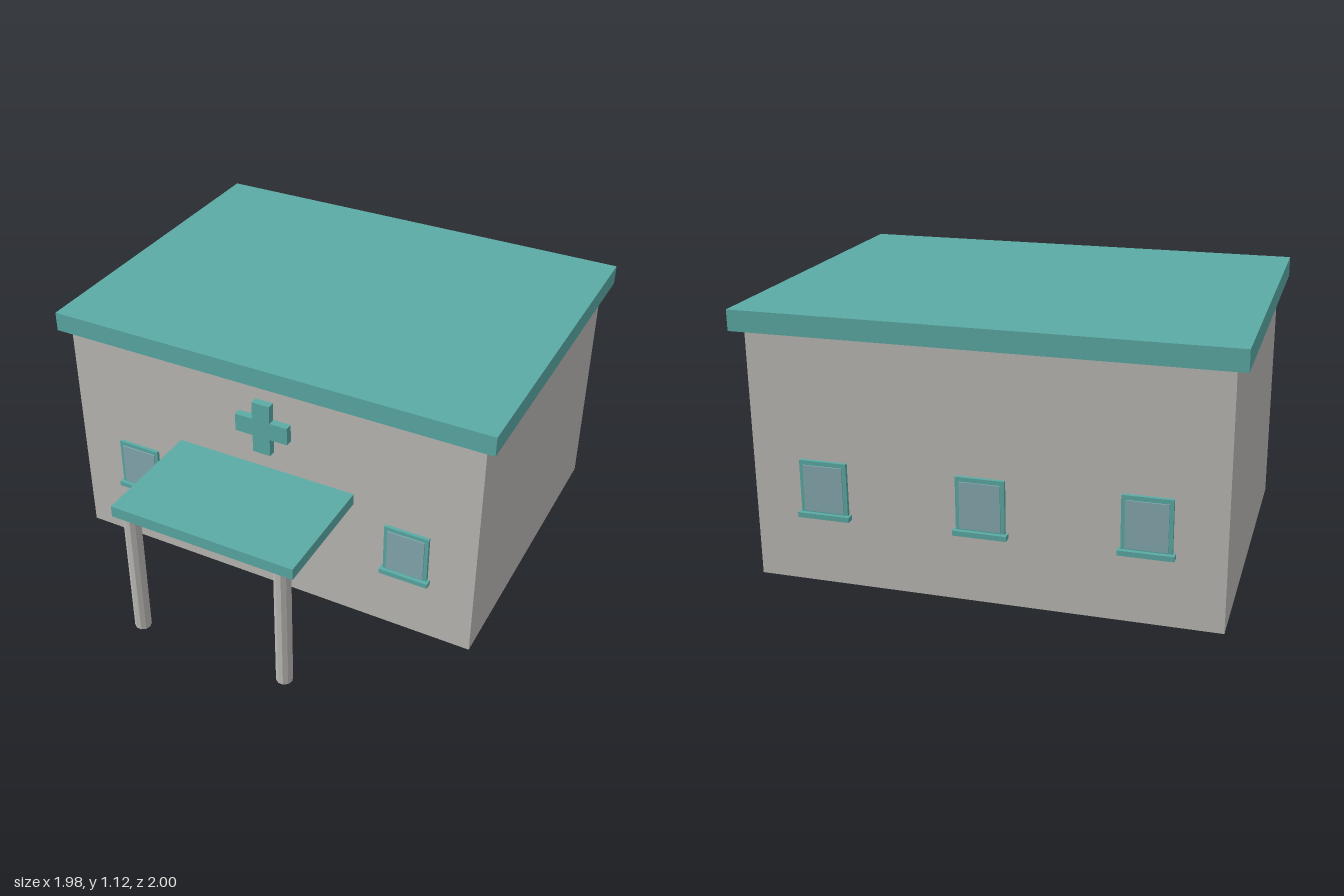
import * as THREE from 'three';

export function createModel() {
  const model = new THREE.Group();
  model.name = 'building';

  const paint = (name, color) => {
    const m = new THREE.MeshStandardMaterial({ color });
    m.name = name;
    return m;
  };
  const plaster = paint('plaster', 0xbcbab6);
  const teal = paint('teal trim', 0x5caba6);
  const glass = paint('window glass', 0x86aab1);

  // Box given by its lower and upper limits on each axis
  const box = (name, material, [x0, x1], [y0, y1], [z0, z1], parent = model) => {
    const mesh = new THREE.Mesh(new THREE.BoxGeometry(x1 - x0, y1 - y0, z1 - z0), material);
    mesh.position.set((x0 + x1) / 2, (y0 + y1) / 2, (z0 + z1) / 2);
    mesh.name = name;
    parent.add(mesh);
    return mesh;
  };

  // Main block and flat roof
  box('walls', plaster, [-0.945, 0.945], [0, 1.035], [-0.955, 0.465]);
  box('roof', teal, [-0.99, 0.99], [1.035, 1.12], [-1, 0.505]);

  // Entrance canopy on two ten-sided columns
  box('canopy', teal, [-0.41, 0.41], [0.59, 0.64], [0.485, 1]);
  const columnGeometry = new THREE.CylinderGeometry(0.035, 0.035, 0.59, 10).rotateY(Math.PI / 2).toNonIndexed();
  columnGeometry.computeVertexNormals();
  for (const side of [-1, 1]) {
    const column = new THREE.Mesh(columnGeometry, plaster);
    column.name = side < 0 ? 'rightColumn' : 'leftColumn';
    column.position.set(side * 0.343, 0.295, 0.96);
    model.add(column);
  }

  // Cross above the entrance, set just off the wall
  const a = 0.04, b = 0.12;
  const outline = [[a, a], [a, b], [-a, b], [-a, a], [-b, a], [-b, -a],
    [-a, -a], [-a, -b], [a, -b], [a, -a], [b, -a], [b, a]];
  const crossShape = new THREE.Shape(outline.map(([x, y]) => new THREE.Vector2(x, y)));
  const cross = new THREE.Mesh(
    new THREE.ExtrudeGeometry(crossShape, { depth: 0.033, bevelEnabled: false }), teal);
  cross.name = 'cross';
  cross.position.set(0, 0.84, 0.475);
  model.add(cross);

  // Window with frame, pane and sill, standing out from z = 0
  const makeWindow = (name) => {
    const w = new THREE.Group();
    w.name = name;
    box('frame', teal, [-0.098, 0.098], [0.3, 0.522], [-0.005, 0.015], w);
    box('pane', glass, [-0.082, 0.082], [0.312, 0.504], [0.015, 0.02], w);
    box('sill', teal, [-0.108, 0.108], [0.284, 0.305], [-0.005, 0.032], w);
    return w;
  };

  // Three windows on the front and three on the back
  for (const x of [-0.645, 0, 0.645]) {
    const front = makeWindow('frontWindow');
    front.position.set(x, 0, 0.465);
    const back = makeWindow('backWindow');
    back.position.set(x, 0, -0.955);
    back.rotation.y = Math.PI;
    model.add(front, back);
  }

  return model;
}
